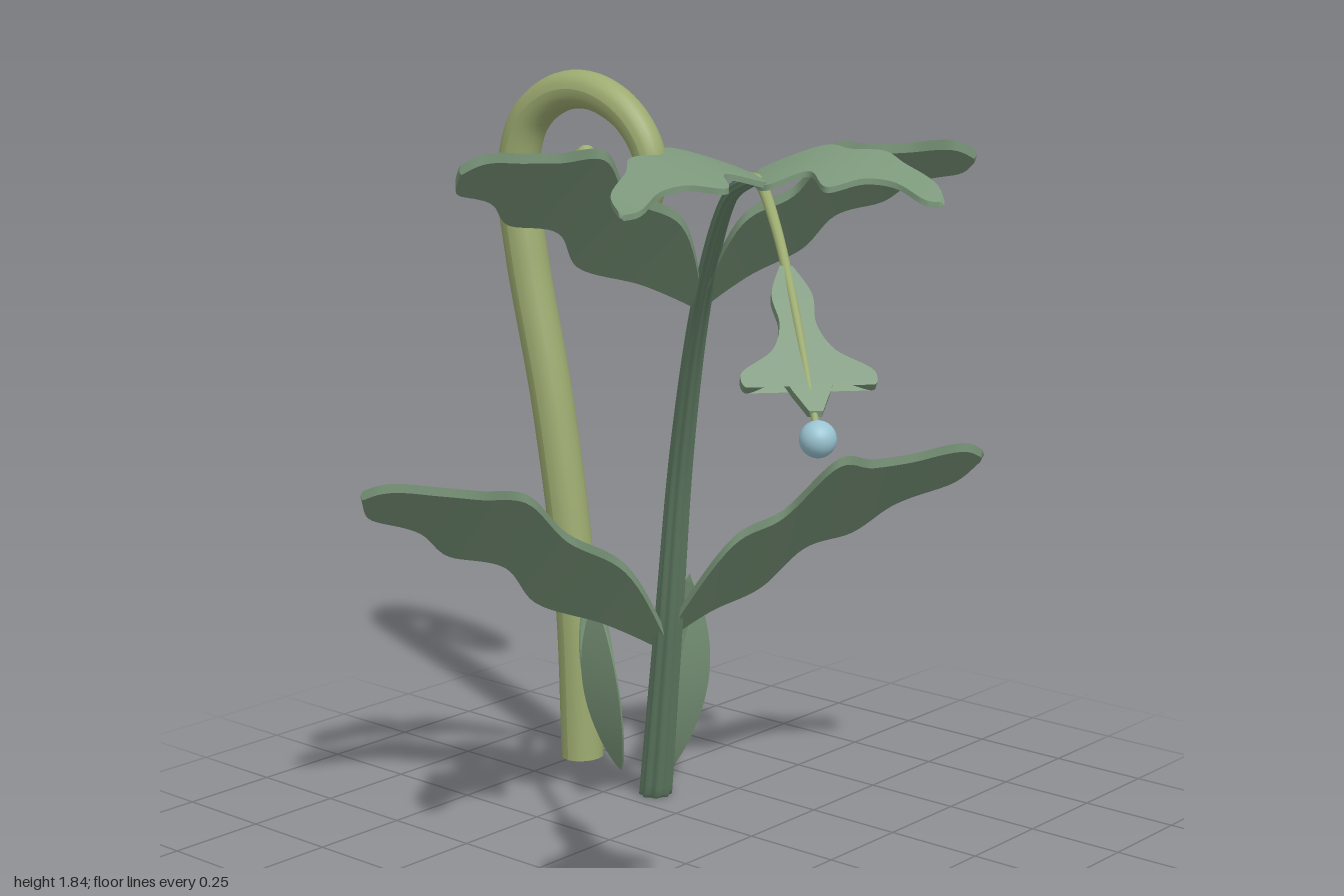
import * as THREE from 'three';
import { toCreasedNormals } from 'three/addons/utils/BufferGeometryUtils.js';

const V3 = (x, y, z) => new THREE.Vector3(x, y, z);
const material = (name, color) => {
  const m = new THREE.MeshStandardMaterial({ color });
  m.name = name;
  return m;
};

// Smooth outline running through [along, across] pairs
const edge = (pts) => new THREE.CatmullRomCurve3(pts.map(([u, w]) => V3(u, w, 0)));
const widen = (pts, k) => pts.map(([u, w]) => [u, w * k]);

// Closed thin sheet spanning two outline edges; map(u, w, h) bends it into place
function sheet(left, right, thick, map, n = 56, m = 8) {
  const a = edge(left), b = edge(right), pos = [], idx = [], ring = 2 * (m + 1);
  for (let i = 0; i <= n; i++) {
    const p = a.getPoint(i / n), q = b.getPoint(i / n);
    const half = i === 0 || i === n ? 0 : thick / 2;
    for (let j = 0; j < ring; j++) {
      const top = j <= m;
      const c = p.clone().lerp(q, (top ? j : ring - 1 - j) / m);
      const v = map(c.x, c.y, top ? half : -half);
      pos.push(v.x, v.y, v.z);
    }
  }
  for (let i = 0; i < n; i++) {
    for (let j = 0; j < ring; j++) {
      const k = (j + 1) % ring;
      const p = i * ring + j, q = i * ring + k;
      idx.push(p, p + ring, q, q, p + ring, q + ring);
    }
  }
  // Turn the faces outward if the mapping mirrored them
  const at = (i) => V3(pos[3 * i], pos[3 * i + 1], pos[3 * i + 2]);
  const origin = at(0);
  let volume = 0;
  for (let i = 0; i < idx.length; i += 3) {
    const [p, q, r] = [0, 1, 2].map((k) => at(idx[i + k]).sub(origin));
    volume += p.dot(q.cross(r));
  }
  if (volume < 0) idx.reverse();
  const g = new THREE.BufferGeometry();
  g.setAttribute('position', new THREE.Float32BufferAttribute(pos, 3));
  g.setIndex(idx);
  return toCreasedNormals(g, 0.7);
}

// Tube with a radius that varies along its length and optional ribs
function taperTube(points, radius, segs, radial, ribs = 0) {
  const curve = new THREE.CatmullRomCurve3(points);
  const g = new THREE.TubeGeometry(curve, segs, 1, radial);
  const p = g.attributes.position;
  for (let i = 0; i <= segs; i++) {
    const c = curve.getPointAt(i / segs);
    for (let j = 0; j <= radial; j++) {
      const k = i * (radial + 1) + j;
      const flute = ribs ? 0.95 + 0.08 * Math.cos((ribs * j * 2 * Math.PI) / radial) : 1;
      const v = V3().fromBufferAttribute(p, k).sub(c).multiplyScalar(radius(i / segs) * flute).add(c);
      p.setXYZ(k, v.x, Math.max(v.y, 0), v.z);
    }
  }
  g.computeVertexNormals();
  return g;
}

// Lobed leaf outline: outer side and the side facing along the stem
const OUTER = [[0, -0.02], [0.11, -0.13], [0.255, -0.27], [0.355, -0.2], [0.485, -0.257], [0.58, -0.175], [0.72, -0.11], [0.78, 0.02]];
const INNER = [[0, 0.02], [0.153, 0.173], [0.28, 0.09], [0.405, 0.19], [0.5, 0.09], [0.6, 0.05], [0.73, 0.06], [0.78, 0.02]];

export function createModel() {
  const leafGreen = material('leaf green', 0x7b977a);
  const stemGreen = material('stem green', 0x66846a);
  const shootGreen = material('shoot green', 0x9cab70);
  const dewBlue = material('dew blue', 0x9ac4d2);

  const model = new THREE.Group();
  const add = (name, geometry, mat, parent = model) => {
    const mesh = new THREE.Mesh(geometry, mat);
    mesh.name = name;
    parent.add(mesh);
    return mesh;
  };
  const baseCap = (name, r, x, z, mat) => {
    const cap = add(name, new THREE.CircleGeometry(r, 24).rotateX(Math.PI / 2), mat);
    cap.position.set(x, 0.001, z);
  };

  // Curled shoot
  const spiral = [[-0.742, 0], [-0.76, 0.45], [-0.83, 0.95], [-0.915, 1.35], [-0.942, 1.56], [-0.9, 1.705],
    [-0.8, 1.78], [-0.69, 1.79], [-0.575, 1.735], [-0.507, 1.635], [-0.515, 1.53], [-0.585, 1.46],
    [-0.67, 1.457], [-0.742, 1.515], [-0.753, 1.585], [-0.712, 1.625]]
    .map(([x, y]) => V3(x, y, -0.43 - 0.07 * (x + 0.745)));
  const shootRadius = (t) => 0.057 - 0.03 * Math.max(0, (t - 0.5) / 0.5) ** 1.5;
  add('curledShoot', taperTube(spiral, shootRadius, 160, 20), shootGreen);
  add('shootTip', new THREE.SphereGeometry(0.027, 16, 12), shootGreen).position.copy(spiral.at(-1));
  baseCap('shootBase', 0.057, -0.742, -0.43, shootGreen);

  // Arching ribbed stem and its thin drooping stalk, both in one vertical plane
  const onPlane = ([x, y]) => V3(x, y, -0.33 + 0.785 * (x + 0.39));
  const stem = [[-0.397, -0.03], [-0.245, 0.5], [-0.1, 1], [0.09, 1.4], [0.31, 1.655], [0.52, 1.735]].map(onPlane);
  add('stem', taperTube(stem, (t) => 0.042 - 0.028 * t, 80, 64, 8), stemGreen);
  baseCap('stemBase', 0.038, -0.39, -0.33, stemGreen);
  const stalk = [[0.48, 1.727], [0.56, 1.728], [0.68, 1.65], [0.79, 1.535], [0.95, 1.325]].map(onPlane);
  add('buddingStalk', taperTube(stalk, (t) => 0.013 - 0.006 * t, 32, 12), shootGreen);

  // Leaf pairs: base, heading, side, size, outer and inner width, rise, droop, tilt across
  const leaves = [
    ['lowerBackLeaf', [-0.25, 0.485, -0.22], -0.755, 1, 1, 1, 1, 1.14, 0.74, 0.7],
    ['lowerFrontLeaf', [-0.25, 0.455, -0.22], 2.06, -1, 1, 1.06, 0.65, 1.22, 0.84, 0.65],
    ['upperBackLeaf', [0.09, 1.39, 0.05], -0.52, 1, 0.79, 0.95, 1.05, 1.3, 1.22, 0.5],
    ['upperFrontLeaf', [0.09, 1.39, 0.05], 1.87, -1, 0.79, 1, 0.78, 1.3, 1.25, 0.62],
    ['crownBackLeaf', [0.5, 1.735, 0.37], -0.23, 1, 0.55, 0.5, 1.15, 0.4, 1.1, -0.32],
    ['crownFrontLeaf', [0.5, 1.735, 0.37], 1.57, -1, 0.53, 0.78, 1.12, 0.35, 1.1, -0.25],
  ];
  for (const [name, [x, y, z], angle, side, size, outer, inner, rise, droop, tilt] of leaves) {
    const c = Math.cos(angle), s = Math.sin(angle);
    const map = (u, w, h) => {
      u *= size;
      w *= size;
      return V3(x + u * c - w * s * side, y + rise * u - droop * u * u + tilt * w + h, z + u * s + w * c * side);
    };
    add(name, sheet(widen(OUTER, outer), widen(INNER, inner), size > 0.6 ? 0.022 : 0.012, map), leafGreen);
  }

  // Three-pointed bract above the dewdrop
  const lobe = [[0, 0.008], [0.08, 0.04], [0.15, 0.036], [0.21, 0.06], [0.265, 0.13], [0.295, 0.125], [0.275, 0.055], [0.31, 0.035], [0.36, 0.01]];
  const from = V3(0.735, 1.595, 0.555);
  const along = V3(0.94, 1.34, 0.71).sub(from).normalize();
  const across = V3(0.175, 0, -0.195).normalize();
  const normal = across.clone().cross(along).normalize();
  const bractMap = (u, w, h) => from.clone().addScaledVector(along, u).addScaledVector(across, w).addScaledVector(normal, h);
  add('bract', sheet(widen(lobe, -1), lobe, 0.02, bractMap), leafGreen);
  add('dewdrop', new THREE.SphereGeometry(0.036, 24, 16), dewBlue).position.set(0.96, 1.305, 0.73);

  // Four upright blades in a ring between the stems
  const blades = new THREE.Group();
  blades.name = 'blades';
  blades.position.set(-0.5, 0, -0.41);
  model.add(blades);
  const outline = (sign) => Array.from({ length: 13 }, (_, i) => [i / 12, sign * 0.062 * Math.sin((Math.PI * i) / 12) ** 0.75]);
  const bladeMap = (t, w, h) => V3(w, 0.04 + 0.48 * t, 0.09 + 0.095 * (1 - (1 - t) ** 2.3) + h);
  const bladeGeometry = sheet(outline(-1), outline(1), 0.006, bladeMap, 32, 4);
  for (let i = 0; i < 4; i++) {
    add('blade', bladeGeometry, leafGreen, blades).rotation.y = (i * Math.PI) / 2;
  }
  return model;
}
